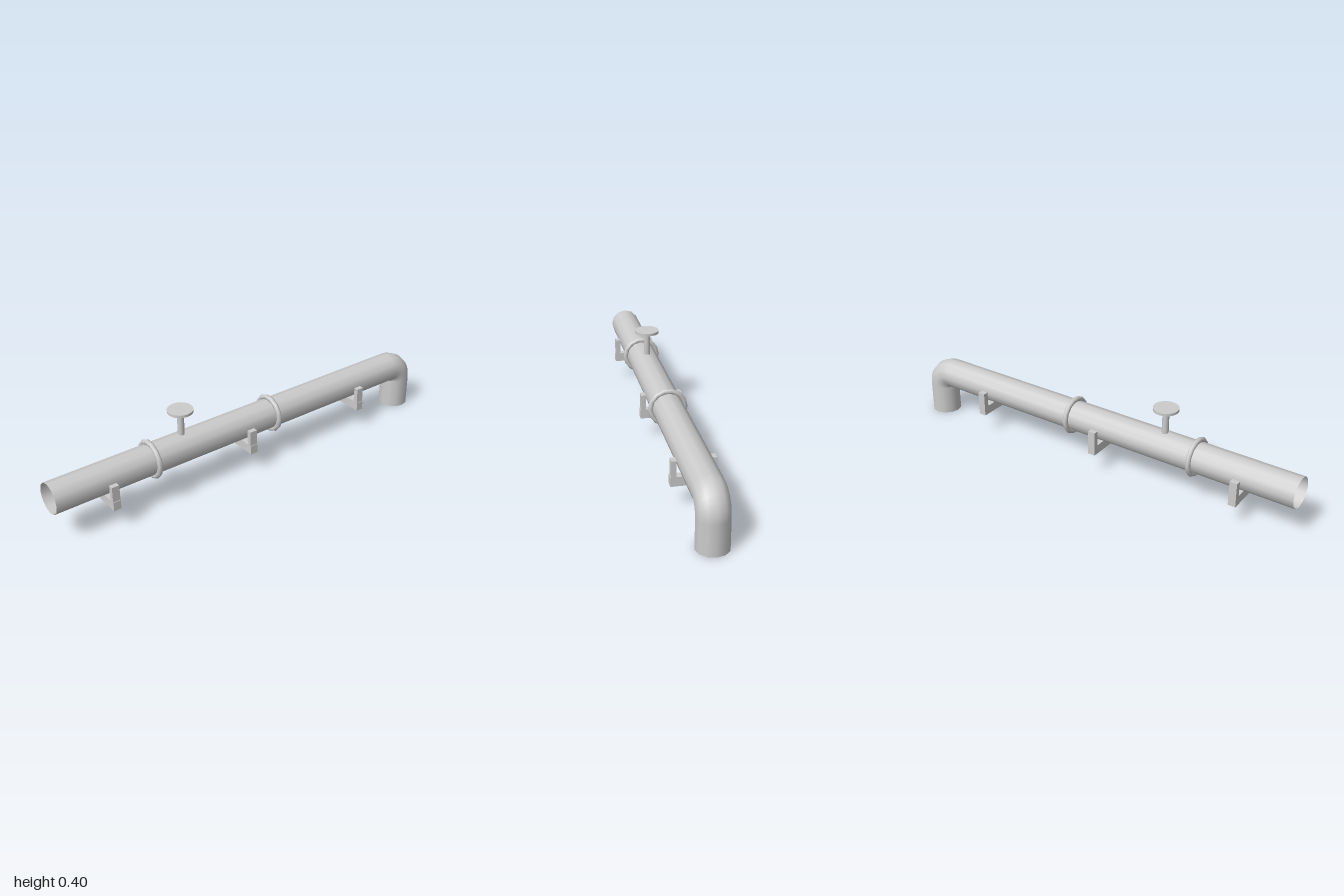
import * as THREE from 'three';

const R = 0.07;       // pipe radius
const AXIS_Y = 0.21;  // height of the straight pipe's axis

// Open pipe swept along a straight run, a tight quarter bend and a short drop
function pipeGeometry() {
  const bendSteps = 8, sides = 12;
  const sections = [{ x: -1, y: AXIS_Y, a: 0 }];
  for (let i = 0; i <= bendSteps; i++) {
    const a = (i / bendSteps) * Math.PI / 2;
    sections.push({ x: 0.86 + R * Math.sin(a), y: 0.14 + R * Math.cos(a), a });
  }
  sections.push({ x: 0.93, y: 0, a: Math.PI / 2 });

  const geo = new THREE.CylinderGeometry(1, 1, 1, sides, sections.length - 1, true);
  const pos = geo.attributes.position, nor = geo.attributes.normal;
  for (let i = 0; i < pos.count; i++) {
    const s = sections[Math.floor(i / (sides + 1))];
    const out = pos.getX(i), side = pos.getZ(i);
    const nx = out * Math.sin(s.a), ny = out * Math.cos(s.a);
    pos.setXYZ(i, s.x + R * nx, s.y + R * ny, R * side);
    nor.setXYZ(i, nx, ny, side);
  }
  return geo;
}

export function createModel() {
  const model = new THREE.Group();
  model.name = 'pipeline';
  const metal = new THREE.MeshStandardMaterial({ color: 0xcccccc, side: THREE.DoubleSide });
  metal.name = 'light grey metal';

  const add = (name, geo, x, y, z, parent = model) => {
    const mesh = new THREE.Mesh(geo, metal);
    mesh.name = name;
    mesh.position.set(x, y, z);
    parent.add(mesh);
    return mesh;
  };

  add('pipe', pipeGeometry(), 0, 0, 0);

  // Joint rings
  const ring = new THREE.TorusGeometry(0.078, 0.012, 8, 14);
  for (const x of [-0.52, 0.12]) add('jointRing', ring, x, AXIS_Y, 0).rotation.y = Math.PI / 2;

  // Valve stem and hand wheel
  const valve = new THREE.Group();
  valve.name = 'valve';
  valve.position.x = -0.36;
  model.add(valve);
  add('valveStem', new THREE.CylinderGeometry(0.015, 0.015, 0.13, 12), 0, 0.325, 0, valve);
  add('valveWheel', new THREE.CylinderGeometry(0.057, 0.057, 0.012, 20), 0, 0.394, 0, valve);

  // U-shaped brackets: a cross bar under the pipe and a post on each side
  const bar = new THREE.BoxGeometry(0.035, 0.042, 0.166);
  const frontPost = new THREE.BoxGeometry(0.035, 0.072, 0.022);
  const backPost = new THREE.BoxGeometry(0.035, 0.114, 0.025);
  for (const x of [-0.745, -0.037, 0.605]) {
    const bracket = new THREE.Group();
    bracket.name = 'bracket';
    bracket.position.x = x;
    model.add(bracket);
    add('bracketBar', bar, 0, 0.12, 0.013, bracket);
    add('bracketFrontPost', frontPost, 0, 0.177, 0.082, bracket);
    add('bracketBackPost', backPost, 0, 0.156, -0.0825, bracket);
  }
  return model;
}
